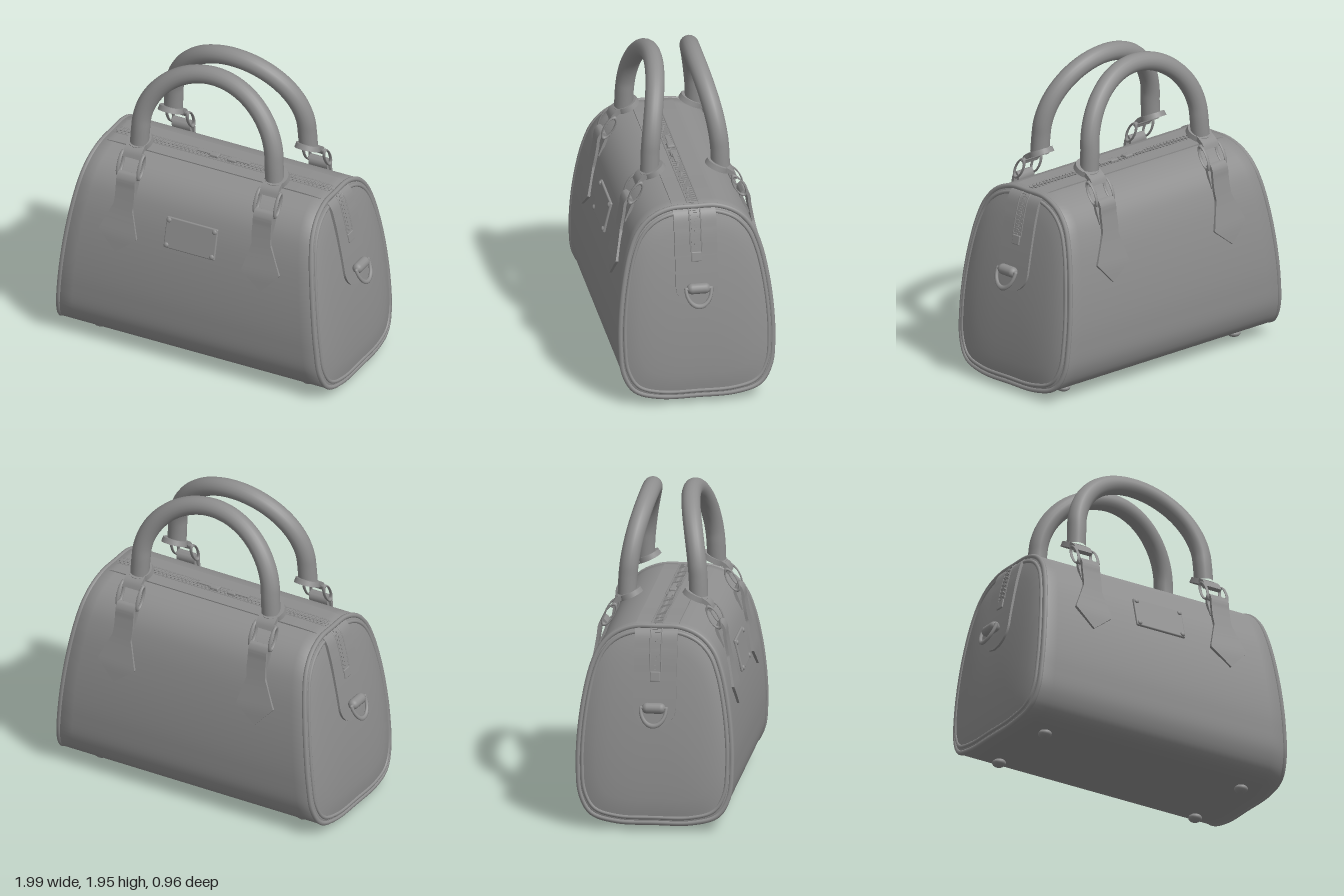
import * as THREE from 'three';
import { mergeGeometries, toCreasedNormals } from 'three/addons/utils/BufferGeometryUtils.js';
import { RoundedBoxGeometry } from 'three/addons/geometries/RoundedBoxGeometry.js';

const V = (x, y, z) => new THREE.Vector3(x, y, z);
const material = new THREE.MeshStandardMaterial({ color: 0x8e8e8e });

function add(parent, name, geometry, x = 0, y = 0, z = 0, rx = 0, rz = 0) {
  const mesh = new THREE.Mesh(geometry, material);
  mesh.name = name;
  mesh.position.set(x, y, z);
  mesh.rotation.set(rx, 0, rz);
  parent.add(mesh);
  return mesh;
}

// Skin over equal-length rings, each counter-clockwise about the direction of travel
function loft(rings, crease = 0.6) {
  const n = rings[0].length, last = (rings.length - 1) * n, index = [];
  for (let i = 0; i < rings.length - 1; i++) {
    for (let j = 0; j < n; j++) {
      const a = i * n + j, b = i * n + (j + 1) % n;
      index.push(a, b, b + n, a, b + n, a + n);
    }
  }
  for (let j = 1; j < n - 1; j++) {
    index.push(0, j + 1, j, last, last + j, last + j + 1);
  }
  const g = new THREE.BufferGeometry();
  g.setAttribute('position', new THREE.Float32BufferAttribute(rings.flat().flatMap(p => p.toArray()), 3));
  g.setIndex(index);
  return toCreasedNormals(g, crease);
}

// Leather band following a curve; normalOf gives the outward direction from the tangent
function band(curve, steps, halfWidth, thickness, normalOf) {
  const rings = [];
  for (let i = 0; i <= steps; i++) {
    const c = curve.getPointAt(i / steps), t = curve.getTangentAt(i / steps);
    const nrm = normalOf(t), side = t.clone().cross(nrm), h = halfWidth(c);
    rings.push([[-1, -1], [1, -1], [1, 1], [-1, 1]].map(([a, b]) =>
      c.clone().addScaledVector(nrm, a * thickness / 2).addScaledVector(side, b * h)));
  }
  return loft(rings);
}

// Half of the bag's cross-section as [z, y], top to bottom
const half = [[0, 1.24], [0.15, 1.235], [0.27, 1.185], [0.35, 1.1], [0.4, 0.98], [0.44, 0.8],
  [0.467, 0.58], [0.473, 0.38], [0.455, 0.2], [0.39, 0.09], [0.24, 0.045], [0, 0.04]];
const outline = new THREE.CatmullRomCurve3(
  [...half, ...half.slice(1, -1).reverse().map(([z, y]) => [-z, y])].map(([z, y]) => V(0, y, z)), true);
const section = outline.getSpacedPoints(120).slice(0, -1);
const endX = y => 0.95 - 0.165 * Math.pow(y / 1.24, 1.9);
const sideZ = y => {
  const i = half.findIndex(p => p[1] <= y), [z0, y0] = half[i - 1], [z1, y1] = half[i];
  return z0 + (z1 - z0) * (y0 - y) / (y0 - y1);
};

// Section ring scaled about its middle, lying on the slanted, slightly domed end of the bag
function ring(sign, fraction, scale, inset) {
  return section.map(p => {
    const y = 0.64 + (p.y - 0.64) * scale, z = p.z * scale;
    return V(sign * (endX(y) - inset - 0.035 * Math.pow(z / 0.47, 4)) * fraction, y, z);
  });
}

function buildBody(bag) {
  const steps = [[0.5, 1, 0.03], [0.9, 1, 0.03], [1, 1, 0.03], [1, 0.975, 0.018], [1, 0.95, 0.014],
    [1, 0.92, 0.014], [1, 0.89, 0.01], [1, 0.75, 0.006], [1, 0.6, 0.004], [1, 0.4, 0.003], [1, 0.2, 0.002], [1, 0.01, 0.002]];
  const rings = [...steps].reverse().map(s => ring(-1, ...s)).concat(steps.map(s => ring(1, ...s)));
  add(bag, 'body', loft(rings, 1));
  for (const sign of [-1, 1]) {
    for (const [scale, inset, r] of [[0.984, 0.024, 0.016], [0.93, 0.016, 0.012]]) {
      const path = new THREE.CatmullRomCurve3(ring(sign, 1, scale, inset), true);
      add(bag, 'piping', new THREE.TubeGeometry(path, 160, r, 8, true));
    }
  }
  const foot = new THREE.SphereGeometry(0.042, 20, 12).scale(1, 0.6, 1);
  for (const x of [-0.71, 0.71]) {
    for (const z of [-0.25, 0.25]) add(bag, 'foot', foot, x, 0.025, z);
  }
}

// One half of the zip with its end tab, slider and side ring
function buildZipHalf() {
  const g = new THREE.Group();
  g.name = 'zipHalf';
  const path = new THREE.CatmullRomCurve3([V(0, 1.235, 0), V(0.35, 1.235, 0), V(0.65, 1.235, 0), V(0.735, 1.228, 0),
    V(0.785, 1.197, 0), V(0.82, 1.1, 0), V(0.852, 0.95, 0), V(0.88, 0.8, 0), V(0.907, 0.63, 0)]);
  const up = t => V(-t.y, t.x, 0);
  const tabWidth = c => {
    const d = Math.max(0, 0.76 - c.y) / 0.13;
    return 0.13 * Math.sqrt(Math.max(0.001, 1 - d * d));
  };
  add(g, 'zipStrip', band(path, 120, tabWidth, 0.02, up));

  // Teeth and seams sit just above the strip
  const L = path.getLength(), teeth = [], zipEnd = 0.75;
  const above = (u, lift, z) => {
    const c = path.getPointAt(u), t = path.getTangentAt(u);
    return V(c.x - t.y * lift, c.y + t.x * lift, z);
  };
  for (let i = 0; i < 76; i++) {
    const u = (i + 0.5) / 76 * zipEnd, c = above(u, 0.011, i % 2 ? 0.009 : -0.009), t = path.getTangentAt(u);
    const tooth = new THREE.BoxGeometry(L * zipEnd / 76 * 0.65, 0.01, 0.034);
    teeth.push(tooth.rotateZ(Math.atan2(t.y, t.x)).translate(c.x, c.y, c.z));
  }
  add(g, 'zipTeeth', mergeGeometries(teeth));
  for (const z of [-0.034, 0.034]) {
    const seam = new THREE.CatmullRomCurve3(Array.from({ length: 40 }, (_, i) => above(i / 39 * zipEnd, 0.009, z)));
    add(g, 'zipEdge', new THREE.TubeGeometry(seam, 80, 0.005, 6));
  }
  const stop = above(zipEnd + 0.022, 0.01, 0);
  add(g, 'zipStop', new RoundedBoxGeometry(0.016, 0.06, 0.062, 2, 0.006), stop.x, stop.y, 0, 0, 0.2);

  // Slider and pull
  add(g, 'zipSlider', new RoundedBoxGeometry(0.06, 0.02, 0.045, 2, 0.008), 0.06, 1.254, 0);
  add(g, 'zipPull', new RoundedBoxGeometry(0.13, 0.008, 0.028, 2, 0.003), 0.113, 1.261, 0);

  // Side ring held by a leather loop
  add(g, 'ringLoop', new THREE.CapsuleGeometry(0.033, 0.08, 6, 16).rotateX(Math.PI / 2), 0.936, 0.762, 0);
  const hang = new THREE.Group();
  hang.name = 'sideRing';
  hang.position.set(0.945, 0.765, 0);
  hang.rotation.z = 0.38;
  const arc = new THREE.TorusGeometry(0.078, 0.011, 8, 32, Math.PI).rotateZ(Math.PI).rotateY(Math.PI / 2).scale(1, 1.4, 1);
  add(hang, 'ringArc', arc);
  add(hang, 'ringBar', new THREE.CapsuleGeometry(0.011, 0.156, 4, 10).rotateX(Math.PI / 2));
  g.add(hang);
  return g;
}

// Buckle between two [z, y] points: an oval on each side joined by a bar at each end
function buckle(parent, x, [z0, y0], [z1, y1]) {
  const g = new THREE.Group();
  g.name = 'buckle';
  g.position.set(x, (y0 + y1) / 2, (z0 + z1) / 2);
  g.rotation.x = -Math.atan2(z1 - z0, y0 - y1);
  const h = Math.hypot(z1 - z0, y1 - y0) / 2;
  const oval = new THREE.TorusGeometry(h, 0.011, 8, 28).rotateY(Math.PI / 2).scale(1, 1, 0.4);
  const bar = new THREE.CylinderGeometry(0.012, 0.012, 0.14, 12).rotateZ(Math.PI / 2);
  for (const s of [-1, 1]) {
    add(g, 'buckleSide', oval, s * 0.07);
    add(g, 'buckleBar', bar, 0, s * h);
  }
  parent.add(g);
}

// Handle with its collars, buckles and leather anchors for one side of the bag
function buildHandle() {
  const g = new THREE.Group();
  g.name = 'handleSide';
  const leanZ = y => 0.217 - 0.092 * Math.pow((y - 1.35) / 0.545, 2);
  const pts = [V(0.462, 1.35, leanZ(1.35))];
  for (let i = 0; i <= 20; i++) {
    const a = Math.PI * i / 20, y = 1.46 + 0.435 * Math.sin(a);
    pts.push(V(0.455 * Math.cos(a), y, leanZ(y)));
  }
  pts.push(V(-0.462, 1.35, leanZ(1.35)));
  add(g, 'handle', new THREE.TubeGeometry(new THREE.CatmullRomCurve3(pts), 96, 0.058, 18));

  const forward = t => V(0, -t.z, t.y);
  const widths = [[0.7, 0.002], [0.815, 0.13], [0.99, 0.065], [1.3, 0.062]];
  const anchorWidth = c => {
    const i = Math.max(1, widths.findIndex(p => p[0] > c.y)), [y0, w0] = widths[i - 1], [y1, w1] = widths[i];
    return w0 + (w1 - w0) * Math.max(0, (c.y - y0) / (y1 - y0));
  };
  for (const s of [-1, 1]) {
    const x = s * 0.467;
    // Slanted collar under the handle, with a tongue down to the buckle
    add(g, 'collar', new THREE.CylinderGeometry(0.075, 0.08, 0.032, 28), x, 1.355, 0.2, 0.43);
    const tongue = new THREE.CatmullRomCurve3([V(x, 1.275, 0.3), V(x, 1.31, 0.283), V(x, 1.345, 0.235)]);
    add(g, 'collarTongue', band(tongue, 8, () => 0.06, 0.026, forward));
    buckle(g, x, [0.282, 1.3], [0.353, 1.175]);
    // Arrow-shaped anchor on the bag, folded over the lower buckle bar
    const ys = [0.7, 0.8, 0.9, 0.96];
    const path = new THREE.CatmullRomCurve3([...ys.map(y => V(s * (0.496 - (y - 0.7) * 0.08), y, sideZ(y) + 0.008)),
      V(x, 1.04, 0.397), V(x, 1.11, 0.385), V(x, 1.17, 0.376), V(x, 1.197, 0.354), V(x, 1.17, 0.334),
      V(x, 1.11, 0.352), V(x, 1.05, 0.375)]);
    add(g, 'anchor', band(path, 80, anchorWidth, 0.018, forward));
  }
  return g;
}

function buildPlate(bag) {
  const plate = new THREE.Group();
  plate.name = 'plate';
  plate.position.set(0, 0.91, sideZ(0.91) + 0.008);
  plate.rotation.x = -Math.atan2(sideZ(0.81) - sideZ(1), 0.19);
  add(plate, 'plateSheet', new RoundedBoxGeometry(0.35, 0.2, 0.018, 2, 0.008));
  const rivet = new THREE.SphereGeometry(0.016, 14, 8).scale(1, 1, 0.6);
  for (const x of [-0.155, 0.155]) {
    for (const y of [-0.08, 0.08]) add(plate, 'rivet', rivet, x, y, 0.01);
  }
  bag.add(plate);
}

export function createModel() {
  const bag = new THREE.Group();
  bag.name = 'handbag';
  buildBody(bag);
  buildPlate(bag);
  for (const turn of [0, Math.PI]) {
    for (const part of [buildZipHalf(), buildHandle()]) {
      part.rotation.y = turn;
      bag.add(part);
    }
  }
  return bag;
}
